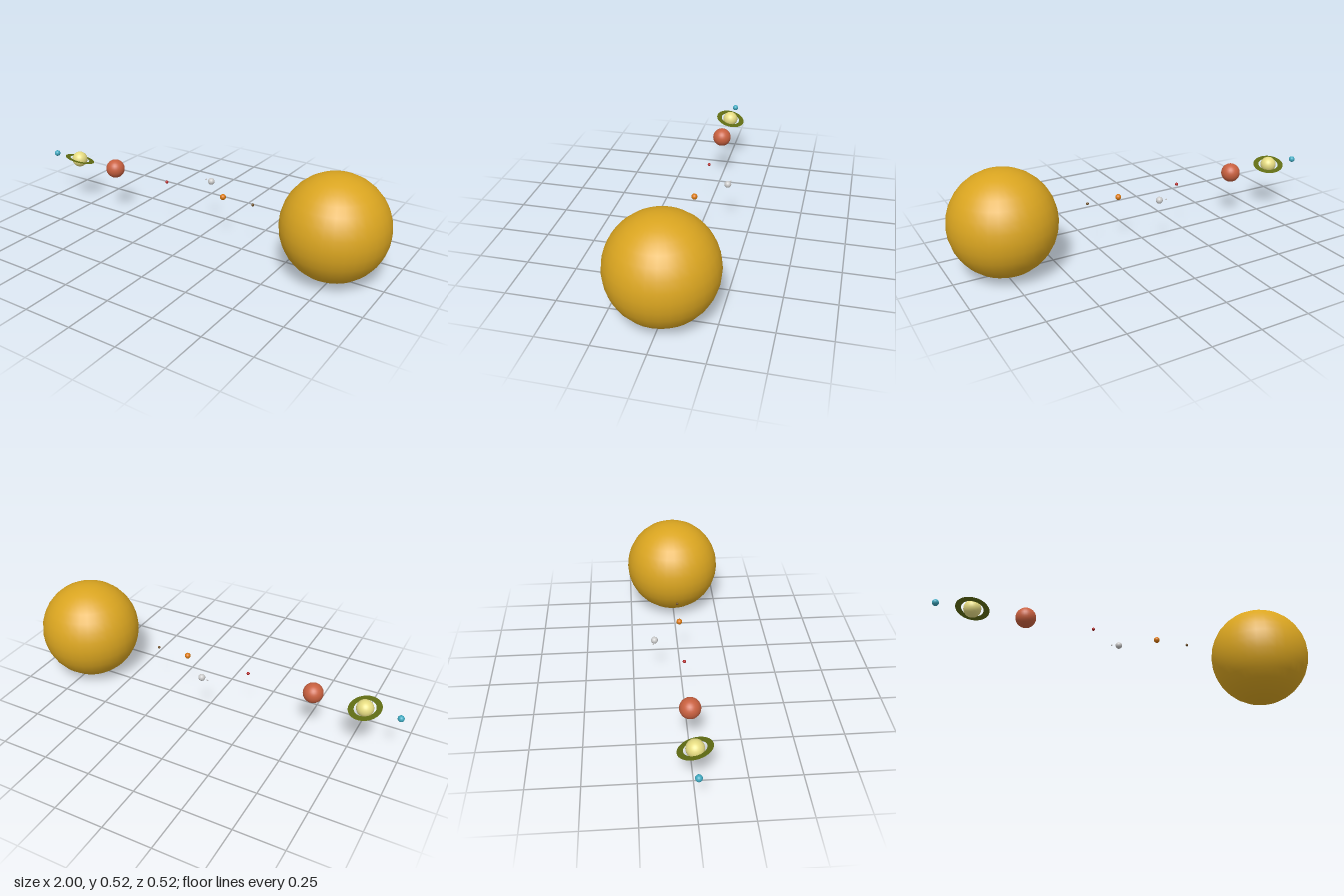
import * as THREE from 'three';

const AXIS_Y = 0.26; // height shared by all bodies

export function createModel() {
  const model = new THREE.Group();
  model.name = 'planetSystem';

  const addSphere = (name, color, radius, x, z = 0) => {
    const mesh = new THREE.Mesh(
      new THREE.SphereGeometry(radius, 32, 16),
      new THREE.MeshStandardMaterial({ color })
    );
    mesh.name = name;
    mesh.position.set(x, AXIS_Y, z);
    model.add(mesh);
    return mesh;
  };

  // Star and its planets, from the centre outwards
  addSphere('sun', 0xdaa520, 0.2585, 0.74);
  addSphere('firstPlanet', 0x6b4a1e, 0.007, 0.306);
  addSphere('secondPlanet', 0xd9780f, 0.015, 0.135);
  addSphere('thirdPlanet', 0xcccccc, 0.0175, -0.022, -0.137);
  addSphere('moon', 0xcccccc, 0.004, -0.058, -0.145);
  addSphere('fourthPlanet', 0xb22222, 0.008, -0.21);
  addSphere('giantPlanet', 0xc8603f, 0.05, -0.555);
  const ringed = addSphere('ringedPlanet', 0xe6dc82, 0.042, -0.813);
  addSphere('outerPlanet', 0x3fa9c0, 0.016, -0.984);

  // Thin flat ring, raised at the front and on the outer side
  const ringGeometry = new THREE.RingGeometry(0.053, 0.081, 48);
  ringGeometry.rotateX(-Math.PI / 2);
  const ring = new THREE.Mesh(
    ringGeometry,
    new THREE.MeshStandardMaterial({ color: 0x5f6b12, side: THREE.DoubleSide })
  );
  ring.name = 'planetRing';
  ring.rotation.set(-0.24, 0, -0.16);
  ringed.add(ring);

  return model;
}
